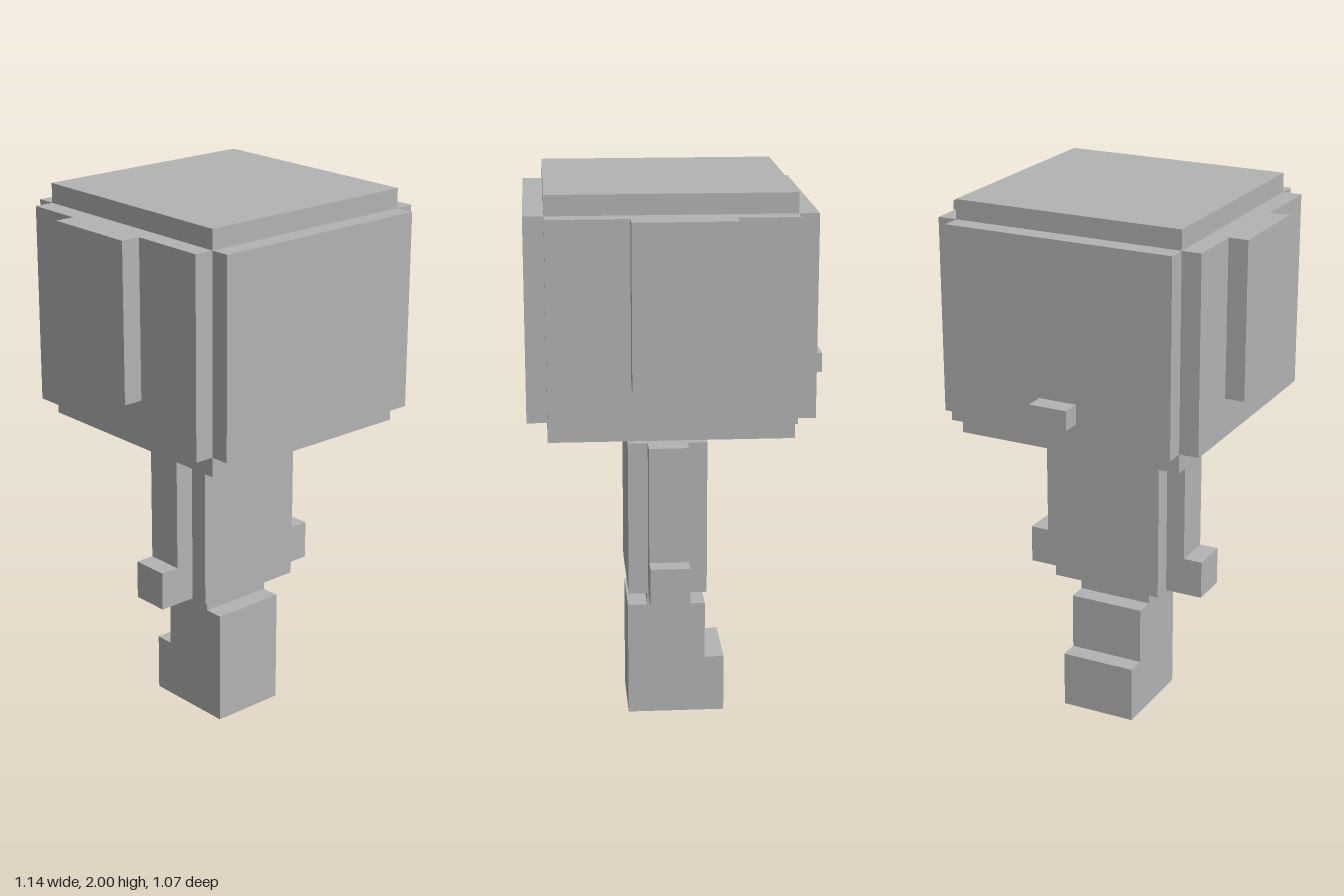
import * as THREE from 'three';

const U = 1 / 14; // edge of one block

export function createModel() {
  const model = new THREE.Group();
  const grey = new THREE.MeshStandardMaterial({ color: 0xb3b3b3 });
  grey.name = 'grey';

  // Box given by its extents, counted in blocks
  function block(name, [x0, x1], [y0, y1], [z0, z1]) {
    const geometry = new THREE.BoxGeometry((x1 - x0) * U, (y1 - y0) * U, (z1 - z0) * U);
    const mesh = new THREE.Mesh(geometry, grey);
    mesh.name = name;
    mesh.position.set((x0 + x1) * U / 2, (y0 + y1) * U / 2, (z0 + z1) * U / 2);
    model.add(mesh);
  }

  // Same box on the left (+x) and right (-x)
  function pair(name, [x0, x1], y, z) {
    block(name + 'Left', [x0, x1], y, z);
    block(name + 'Right', [-x1, -x0], y, z);
  }

  // Head: core with a raised plate on every side
  block('headCore', [-6, 6], [16, 28], [-5.5, 6.5]);
  block('headFrontPlate', [-6, 6], [17, 27], [6.5, 7.5]);
  block('headBackPlate', [-6, 6], [17, 27], [-6.5, -5.5]);
  pair('headSidePlate', [6, 7], [17, 27], [-5.5, 6.5]);
  pair('ear', [7, 8], [19, 27], [-2.5, 2.5]);
  block('knob', [-1, 1], [18, 19], [-7.5, -6.5]);

  // Neck, body and arms
  block('neck', [-1, 1], [15, 16], [-0.5, 1.5]);
  block('torso', [-3, 3], [7, 15], [-1.5, 2.5]);
  pair('arm', [3, 4], [7, 15], [-0.5, 1.5]);
  pair('hand', [4, 5], [7, 9], [-0.5, 1.5]);

  // Waist, legs and feet
  block('waist', [-2, 2], [6, 7], [-0.5, 1.5]);
  block('legs', [-2, 2], [0, 6], [-1.5, 2.5]);
  block('feet', [-2, 2], [0, 3], [-2.5, -1.5]);

  return model;
}
